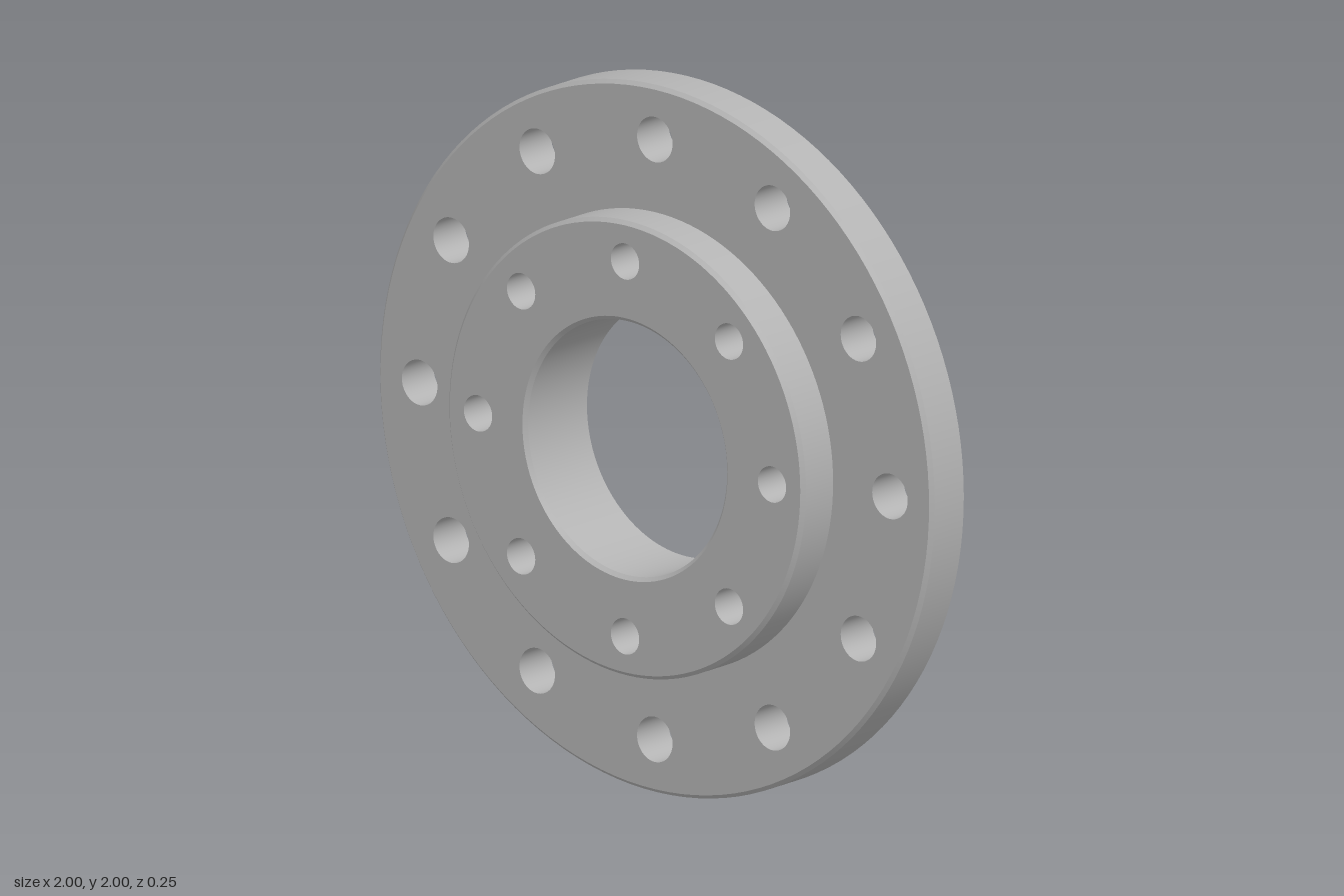
import * as THREE from 'three';

// Main dimensions
const R = 1, BOSS = 0.643, BORE = 0.359, C = 0.011;
const BACK = -0.127, STEP = 0.004, FRONT = 0.127;
const bolts = { count: 12, ring: 0.848, r: 0.064, front: STEP };
const screws = { count: 8, ring: 0.53, r: 0.051, front: FRONT };

function centres({ count, ring }) {
  return Array.from({ length: count }, (_, i) => {
    const a = (i / count) * Math.PI * 2;
    return [Math.cos(a) * ring, Math.sin(a) * ring];
  });
}

function circlePath(Type, x, y, r) {
  return new Type().absarc(x, y, r, 0, Math.PI * 2, false);
}

export function createModel() {
  const model = new THREE.Group();
  model.name = 'flange';
  const steel = new THREE.MeshStandardMaterial({ color: 0xb3b3b3 });
  steel.name = 'grey steel';

  function add(name, geometry, x = 0, y = 0, z = 0) {
    const mesh = new THREE.Mesh(geometry, steel);
    mesh.name = name;
    mesh.position.set(x, y + R, z);
    model.add(mesh);
    return mesh;
  }

  // Turned wall about z; rising z faces outward, falling z faces inward
  function wall(name, r0, z0, r1, z1, segments = 128, x = 0, y = 0) {
    const points = [new THREE.Vector2(r0, z0), new THREE.Vector2(r1, z1)];
    add(name, new THREE.LatheGeometry(points, segments).rotateX(Math.PI / 2), x, y);
  }

  // Flat ring pierced by the given hole patterns
  function face(name, inner, outer, z, patterns, backward = false) {
    const shape = circlePath(THREE.Shape, 0, 0, outer);
    shape.holes.push(circlePath(THREE.Path, 0, 0, inner));
    for (const p of patterns)
      for (const [x, y] of centres(p)) shape.holes.push(circlePath(THREE.Path, x, y, p.r));
    const geometry = new THREE.ShapeGeometry(shape, 64);
    if (backward) geometry.rotateY(Math.PI);
    add(name, geometry, 0, 0, z);
  }

  // Plate and raised boss faces
  face('plateFrontFace', BOSS, R - C, STEP, [bolts]);
  face('bossFrontFace', BORE + C, BOSS - C, FRONT, [screws]);
  face('backFace', BORE, R, BACK, [bolts, screws], true);

  // Rims, with a small chamfer on each front edge
  wall('plateRim', R, BACK, R, STEP - C);
  wall('plateChamfer', R, STEP - C, R - C, STEP);
  wall('bossRim', BOSS, STEP, BOSS, FRONT - C);
  wall('bossChamfer', BOSS, FRONT - C, BOSS - C, FRONT);

  // Central bore
  wall('boreChamfer', BORE + C, FRONT, BORE, FRONT - C);
  wall('boreWall', BORE, FRONT - C, BORE, BACK);

  // Through-hole walls
  for (const [name, p] of [['boltHole', bolts], ['screwHole', screws]])
    for (const [x, y] of centres(p)) wall(name, p.r, p.front, p.r, BACK, 64, x, y);

  return model;
}
